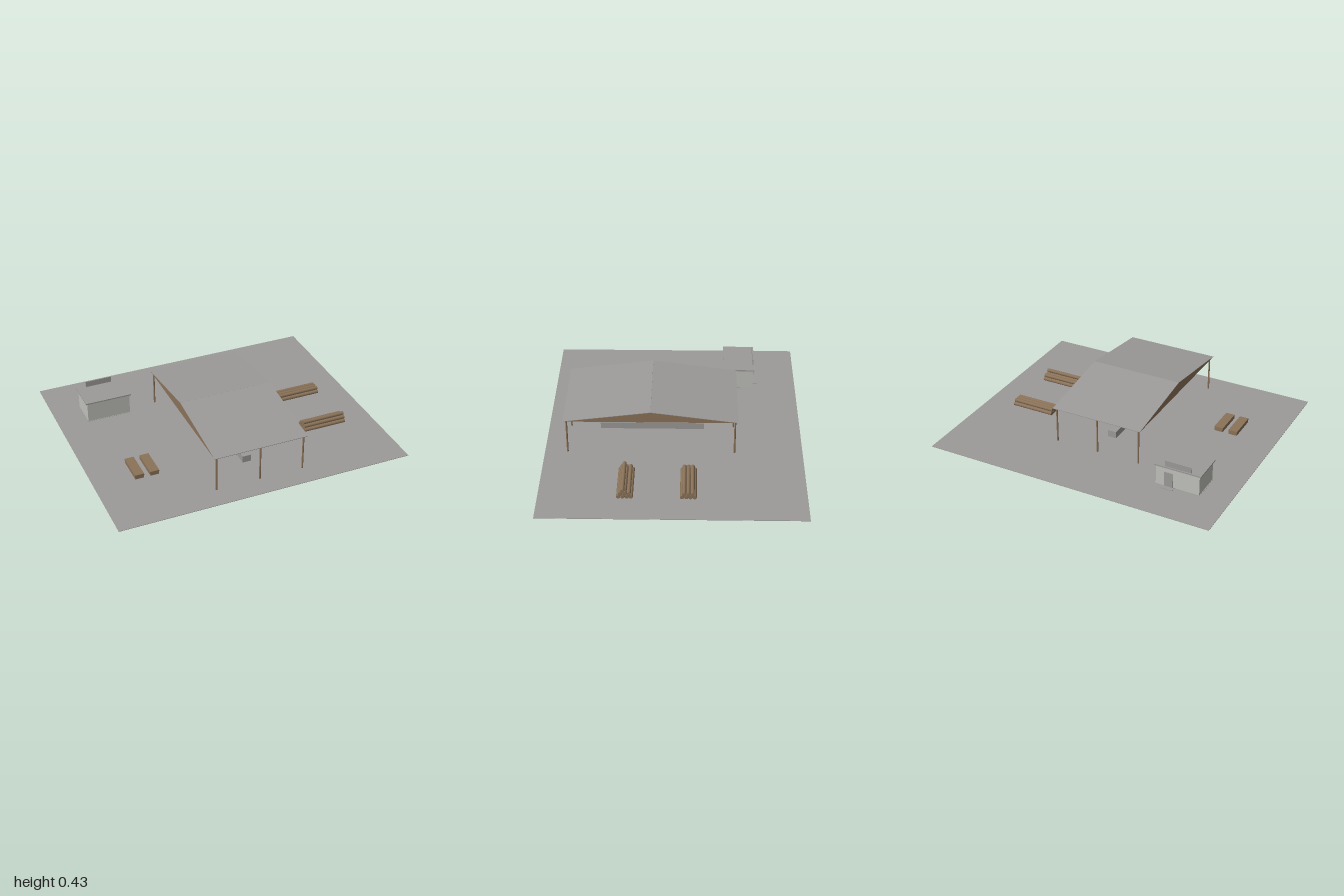
import * as THREE from 'three';

const mat = (name, color) => {
  const m = new THREE.MeshStandardMaterial({ color });
  m.name = name;
  return m;
};

export function createModel() {
  const model = new THREE.Group();
  model.name = 'sawmillYard';
  const concrete = mat('concrete grey', 0x9c9b99);
  const wall = mat('pale wall', 0xc0c1bb);
  const wood = mat('wood brown', 0x8b7359);

  const add = (name, geo, material, parent = model) => {
    const mesh = new THREE.Mesh(geo, material);
    mesh.name = name;
    parent.add(mesh);
    return mesh;
  };
  // box given by its extents along x, y and z
  const box = (name, [x0, x1], [y0, y1], [z0, z1], material, parent) => {
    const mesh = add(name, new THREE.BoxGeometry(x1 - x0, y1 - y0, z1 - z0), material, parent);
    mesh.position.set((x0 + x1) / 2, (y0 + y1) / 2, (z0 + z1) / 2);
    return mesh;
  };
  const group = (name) => {
    const g = new THREE.Group();
    g.name = name;
    model.add(g);
    return g;
  };

  const floor = 0.1;
  box('yardGround', [-1, 1], [floor - 0.003, floor], [-0.85, 0.85], concrete);

  // open shelter: six posts, timber gable block and two roof slopes
  const shelter = group('shelter');
  const ridgeZ = 0.15, eaveY = 0.35, rise = 0.075, half = 0.57;
  for (const x of [-0.3, 0, 0.3]) {
    for (const z of [-0.4, 0.7]) {
      const post = add('post', new THREE.CylinderGeometry(0.006, 0.006, 0.25, 8), wood, shelter);
      post.position.set(x, floor + 0.125, z);
    }
  }
  const gableShape = new THREE.Shape([
    new THREE.Vector2(-half, 0), new THREE.Vector2(half, 0), new THREE.Vector2(0, rise),
  ]);
  const gable = add('gable', new THREE.ExtrudeGeometry(gableShape, { depth: 0.638, bevelEnabled: false }), wood, shelter);
  gable.rotation.y = Math.PI / 2;
  gable.position.set(-0.319, eaveY, ridgeZ);
  for (const side of [-1, 1]) {
    const slope = add('roofSlope', new THREE.BoxGeometry(0.64, 0.003, Math.hypot(half, rise)), concrete, shelter);
    slope.rotation.x = side * Math.atan2(rise, half);
    slope.position.set(0, eaveY + rise / 2 + 0.001, ridgeZ + side * half / 2);
  }

  // saw bench with a round blade
  const bench = group('sawBench');
  box('benchTop', [-0.03, 0.03], [floor, 0.147], [-0.2, 0.5], concrete, bench);
  const blade = add('sawBlade', new THREE.CylinderGeometry(0.031, 0.031, 0.005, 24), concrete, bench);
  blade.rotation.z = Math.PI / 2;
  blade.position.set(0, 0.15, ridgeZ);

  // office hut with its footing below ground
  const hut = group('officeHut');
  box('footing', [-0.806, -0.495], [0, floor + 0.001], [-0.552, -0.345], concrete, hut);
  box('hutWalls', [-0.8, -0.5], [floor, 0.24], [-0.55, -0.35], wall, hut);
  box('hutRoof', [-0.812, -0.49], [0.239, 0.248], [-0.56, -0.34], concrete, hut);
  box('roofBoard', [-0.745, -0.563], [0.248, 0.288], [-0.552, -0.547], concrete, hut);
  box('door', [-0.62, -0.56], [floor, 0.205], [-0.555, -0.549], concrete, hut);
  box('doorStep', [-0.63, -0.55], [floor - 0.002, floor + 0.003], [-0.585, -0.55], concrete, hut);

  // log piles: each row lists the log offsets in z, measured in log pitches
  const pile = (name, z, rows) => {
    const g = group(name);
    rows.forEach((row, i) => row.forEach((offset) => {
      const log = add('log', new THREE.CylinderGeometry(0.013, 0.013, 0.3, 10), wood, g);
      log.rotation.z = Math.PI / 2;
      log.position.set(0.65, floor + 0.013 + i * 0.022, z + offset * 0.0265);
    }));
  };
  pile('frontLogPile', 0.3, [[-1.5, -0.5, 0.5, 1.5], [-1, 0, 1], [0.5]]);
  pile('backLogPile', -0.1, [[-1.5, -0.5, 0.5, 1.5], [-1, 0, 1]]);

  // two stacks of sawn planks
  const stacks = group('plankStacks');
  for (const x of [-0.702, -0.6]) {
    box('lowerPlanks', [x - 0.03, x + 0.03], [floor, 0.12], [0.2, 0.4], wood, stacks);
    box('upperPlank', [x - 0.031, x + 0.031], [0.12, 0.13], [0.2, 0.4], wood, stacks);
  }
  return model;
}
